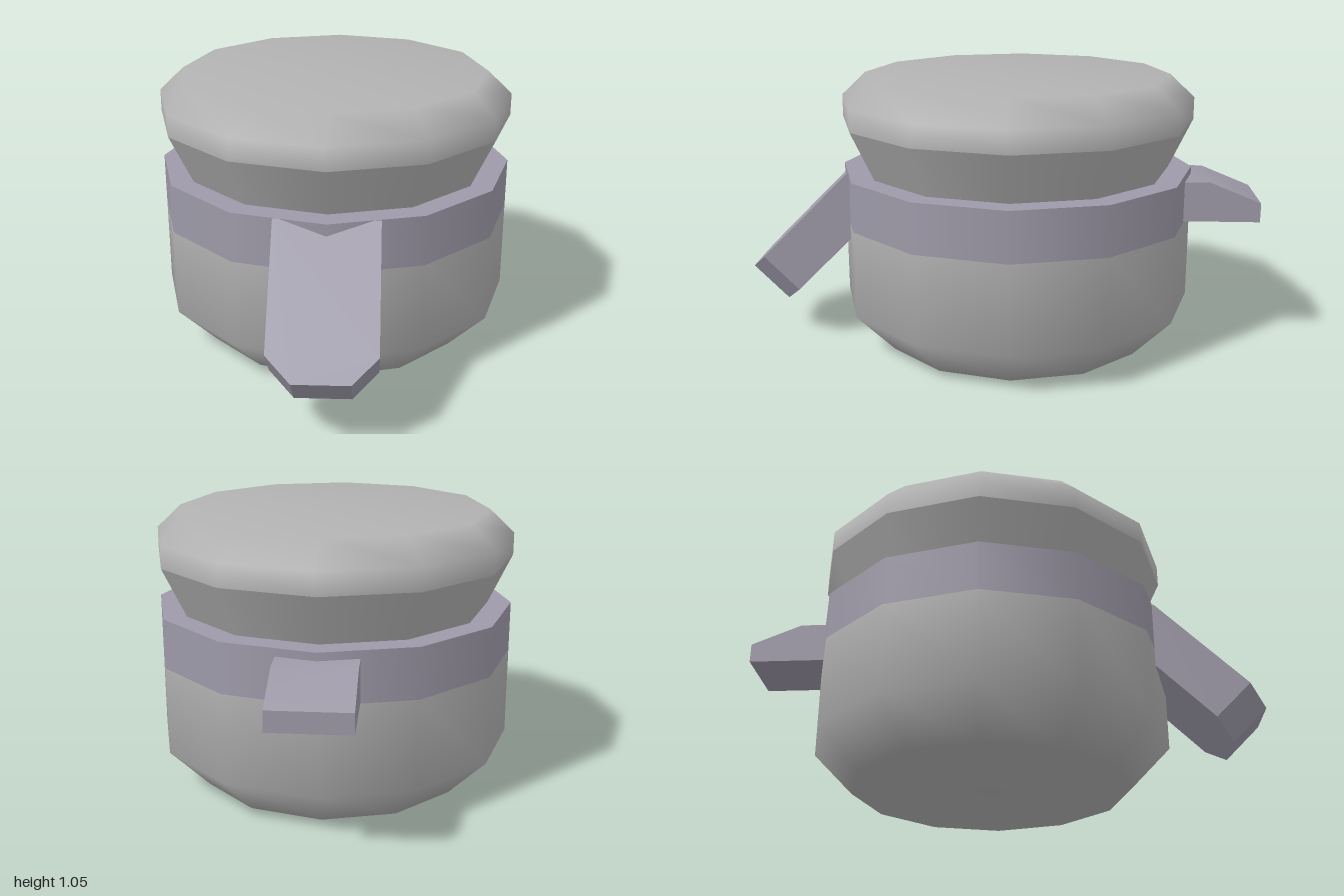
import * as THREE from 'three';
import { toCreasedNormals } from 'three/addons/utils/BufferGeometryUtils.js';

const SIDES = 12;
const CENTRE_Z = -0.055;

export function createModel() {
  const model = new THREE.Group();
  model.name = 'pot';

  const grey = new THREE.MeshStandardMaterial({ color: 0xb2b2b2 });
  grey.name = 'pale grey';
  const lavender = new THREE.MeshStandardMaterial({ color: 0x9e9aa9 });
  lavender.name = 'lavender grey';

  const add = (name, geometry, material, parent = model) => {
    const mesh = new THREE.Mesh(geometry, material);
    mesh.name = name;
    parent.add(mesh);
    return mesh;
  };

  // Round parts: profiles of [radius, height], listed upwards
  const round = new THREE.Group();
  round.name = 'roundBody';
  round.position.z = CENTRE_Z;
  model.add(round);
  const turn = (name, profile, material) => add(name,
    new THREE.LatheGeometry(profile.map(([r, y]) => new THREE.Vector2(r, y)), SIDES),
    material, round);

  turn('bowl', [[0, 0], [0.535, 0], [0.69, 0.16], [0.69, 0.5]], grey);
  turn('band', [[0.69, 0.5], [0.69, 0.69]], lavender);
  turn('bandRim', [[0.69, 0.69], [0.58, 0.69]], lavender);
  turn('lidNeck', [[0.6, 0.69], [0.69, 0.88]], grey);
  turn('lid', [[0.69, 0.88], [0.69, 0.965], [0.595, 1.055], [0, 1.055]], grey);

  const extrude = (points, depth) => new THREE.ExtrudeGeometry(
    new THREE.Shape(points.map(([x, y]) => new THREE.Vector2(x, y))),
    { depth, bevelEnabled: false });

  // Front handle: a sloping slab with clipped lower corners
  const slab = extrude([
    [-0.19, 0], [-0.19, -0.485], [-0.1, -0.58],
    [0.1, -0.58], [0.19, -0.485], [0.19, 0],
  ], 0.19);
  slab.translate(0, 0, -0.19);
  const handle = add('frontHandle', toCreasedNormals(slab, 0.5), lavender);
  handle.rotation.x = -Math.PI / 4;
  handle.position.set(0, 0.69, 0.59);

  // Rear tab: side outline of [distance behind centre, height], extruded across
  const tab = extrude([
    [0.66, 0.505], [1, 0.505], [1, 0.58], [0.805, 0.66], [0.66, 0.66],
  ], 0.29);
  tab.translate(0, 0, -0.145);
  tab.rotateY(Math.PI / 2);
  add('rearTab', toCreasedNormals(tab, 0.5), lavender);

  return model;
}
